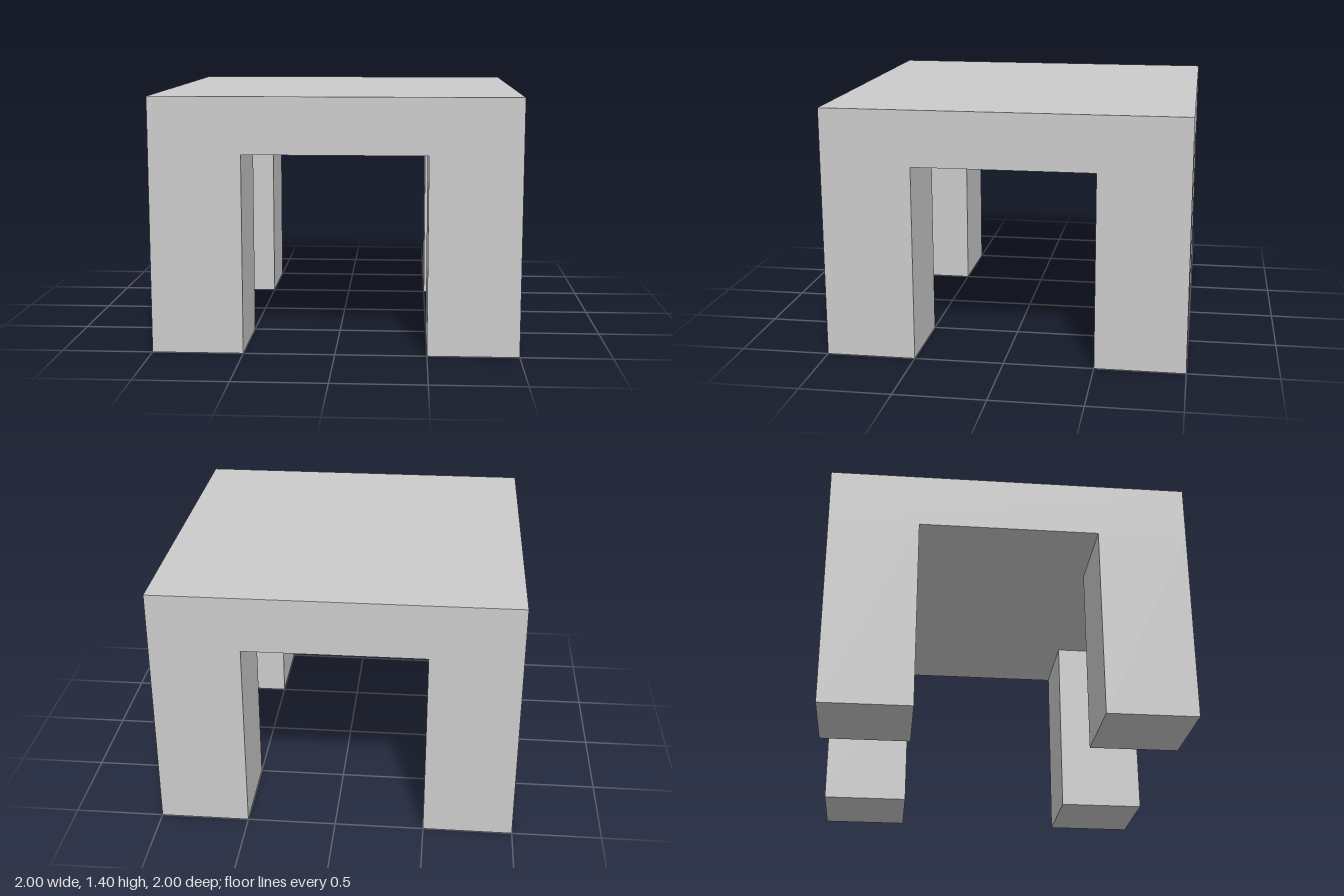
import * as THREE from 'three';

const SIZE = 2, HEIGHT = 1.4, LEG = 0.5, LEG_HEIGHT = 1.09;

export function createModel() {
  const model = new THREE.Group();
  model.name = 'table';
  const material = new THREE.MeshStandardMaterial({ color: 0xcccccc, flatShading: true });

  // Thick square top
  const thickness = HEIGHT - LEG_HEIGHT;
  const top = new THREE.Mesh(new THREE.BoxGeometry(SIZE, thickness, SIZE), material);
  top.name = 'tableTop';
  top.position.y = LEG_HEIGHT + thickness / 2;
  model.add(top);

  // Four square legs, flush with the corners of the top
  const legGeometry = new THREE.BoxGeometry(LEG, LEG_HEIGHT, LEG);
  const offset = (SIZE - LEG) / 2;
  for (const [xName, x] of [['Left', 1], ['Right', -1]]) {
    for (const [zName, z] of [['front', 1], ['back', -1]]) {
      const leg = new THREE.Mesh(legGeometry, material);
      leg.name = `${zName}${xName}Leg`;
      leg.position.set(x * offset, LEG_HEIGHT / 2, z * offset);
      model.add(leg);
    }
  }
  return model;
}
